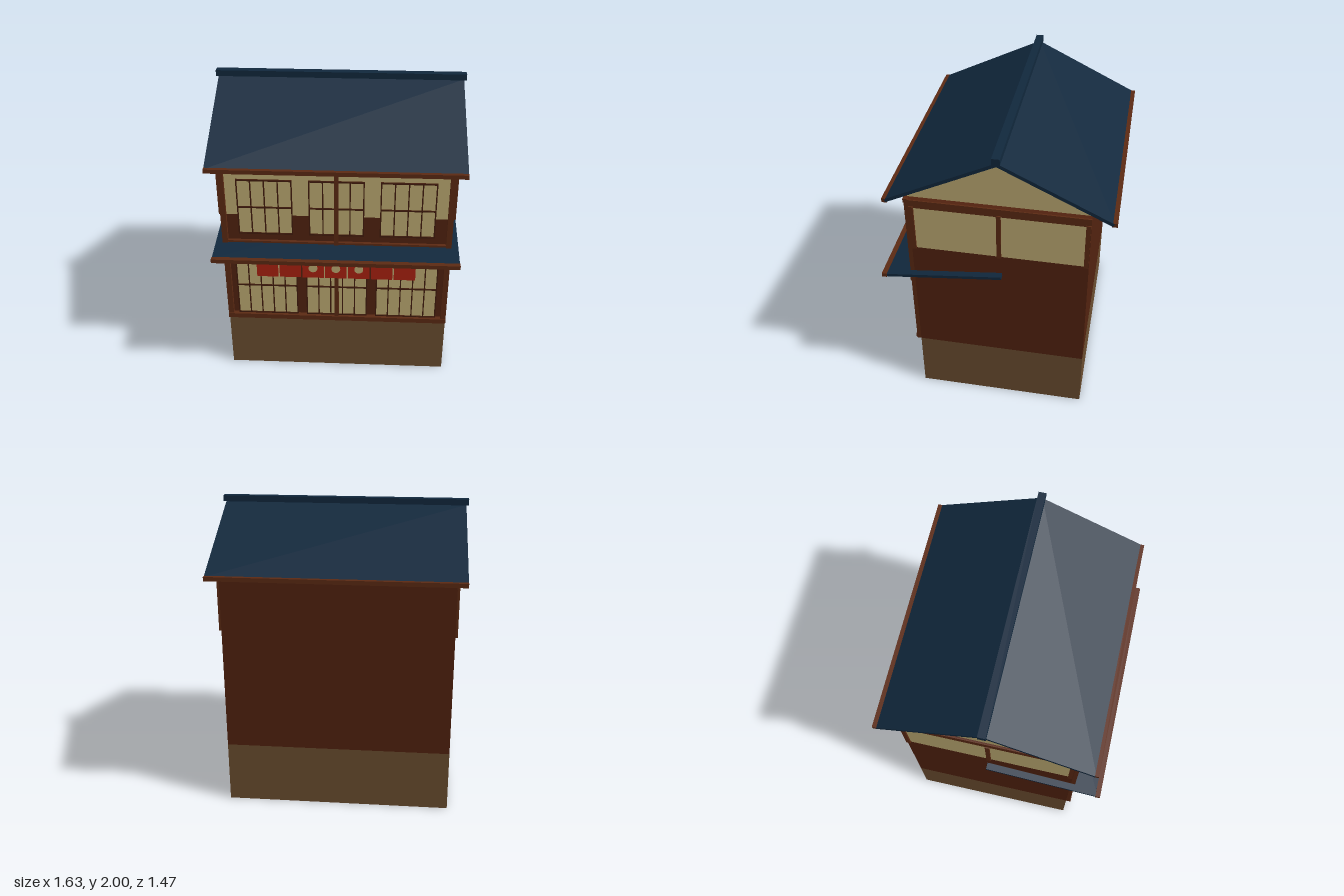
import * as THREE from 'three';

const mat = (name, color) => {
  const m = new THREE.MeshStandardMaterial({ color });
  m.name = name;
  return m;
};

export function createModel() {
  const wall = mat('brown wall', 0x52220f);
  const trim = mat('timber trim', 0x5c2a13);
  const bars = mat('dark window bars', 0x421c0c);
  const plaster = mat('plaster', 0xbfac73);
  const base = mat('foundation', 0x6b4d2f);
  const roof = mat('blue roof', 0x11283d);
  const red = mat('red cloth', 0xab2110);

  const house = new THREE.Group();
  house.name = 'house';

  const add = (name, geometry, material, parent = house) => {
    const mesh = new THREE.Mesh(geometry, material);
    mesh.name = name;
    parent.add(mesh);
    return mesh;
  };
  // Box given by its lower and upper limits on each axis
  const box = (name, material, x0, x1, y0, y1, z0, z1, parent = house) => {
    const mesh = add(name, new THREE.BoxGeometry(x1 - x0, y1 - y0, z1 - z0), material, parent);
    mesh.position.set((x0 + x1) / 2, (y0 + y1) / 2, (z0 + z1) / 2);
    return mesh;
  };
  // Sloping slab whose centre line runs between two (z, y) points
  const slab = (name, halfWidth, z0, y0, z1, y1, t) => {
    const length = Math.hypot(z1 - z0, y1 - y0);
    const mesh = add(name, new THREE.BoxGeometry(halfWidth * 2, t, length), roof);
    mesh.position.set(0, (y0 + y1) / 2, (z0 + z1) / 2);
    mesh.rotation.x = Math.atan2(y0 - y1, z1 - z0);
  };

  const BACK = -0.585, FRONT = 0.53, HALF = 0.743;

  // Main masses
  box('foundation', base, -HALF, HALF, 0, 0.413, BACK, FRONT);
  box('walls', wall, -HALF, HALF, 0.413, 1.6, BACK, FRONT);

  // Gable under the roof, slightly raised off the wall top
  const tri = new THREE.Shape([
    new THREE.Vector2(-FRONT, 1.625),
    new THREE.Vector2(-BACK, 1.625),
    new THREE.Vector2(0.03, 1.942),
  ]);
  const gable = new THREE.ExtrudeGeometry(tri, { depth: HALF * 2, bevelEnabled: false });
  gable.translate(0, 0, -HALF).rotateY(Math.PI / 2);
  add('gable', gable, plaster);

  // Main roof
  slab('frontRoof', 0.8, -0.03, 1.95, 0.655, 1.615, 0.022);
  slab('backRoof', 0.8, -0.715, 1.615, -0.03, 1.95, 0.022);
  box('ridgeCap', roof, -0.815, 0.815, 1.96, 2, -0.055, -0.005);
  box('frontEave', trim, -0.8, 0.8, 1.603, 1.63, 0.642, 0.674);
  box('backEave', trim, -0.8, 0.8, 1.603, 1.63, -0.737, -0.705);

  // Awning between the storeys
  slab('awning', 0.788, -0.045, 1.09, 0.72, 1.002, 0.02);
  box('awningEave', trim, -0.79, 0.79, 0.99, 1.017, 0.705, 0.737);

  // Upper side walls: plaster panels framed in timber
  for (const s of [-1, 1]) {
    const side = new THREE.Group();
    side.name = s > 0 ? 'leftSideFrame' : 'rightSideFrame';
    house.add(side);
    const strip = (name, m, out, y0, y1, z0, z1) => {
      const a = s * (HALF - 0.003), b = s * out;
      box(name, m, Math.min(a, b), Math.max(a, b), y0, y1, z0, z1, side);
    };
    strip('sidePlaster', plaster, 0.747, 1.235, 1.545, -0.57, 0.51);
    strip('sideTopBeam', trim, 0.75, 1.545, 1.6, BACK, FRONT);
    for (const z of [0.512, -0.028, -0.569])
      strip('sidePost', trim, 0.758, 1.23, 1.555, z - 0.014, z + 0.014);
  }

  // Front timber frame for both storeys
  box('upperPlaster', plaster, -0.71, 0.71, 1.235, 1.545, FRONT, 0.534);
  for (const [y0, y1] of [[0.413, 0.98], [1.03, 1.6]]) {
    for (const x of [-0.725, 0, 0.725]) {
      const w = x ? 0.018 : 0.014;
      box('frontPost', trim, x - w, x + w, y0, y1, FRONT, 0.557);
    }
  }
  const beams = [[0.418, 0.452, 0.563], [0.945, 0.978, 0.563], [1.025, 1.045, 0.55], [1.572, 1.6, 0.563], [1.543, 1.572, 0.55]];
  for (const [y0, y1, z] of beams) box('frontBeam', trim, -HALF, HALF, y0, y1, FRONT, z);

  // Lattice window: pale pane, border, upright bars and one crossbar
  const latticeWindow = (name, x0, x1, y0, y1, columns, middle) => {
    const g = new THREE.Group();
    g.name = name;
    house.add(g);
    box('pane', plaster, x0, x1, y0, y1, FRONT, 0.538, g);
    for (let i = 0; i <= columns; i++) {
      const x = x0 + ((x1 - x0) * i) / columns;
      box('uprightBar', bars, x - 0.004, x + 0.004, y0, y1, FRONT, 0.545, g);
    }
    for (const y of [y0, middle, y1])
      box('crossBar', bars, x0 - 0.004, x1 + 0.004, y - 0.005, y + 0.005, FRONT, 0.545, g);
  };
  for (const x of [-0.457, 0, 0.455])
    latticeWindow('upperWindow', x - 0.173, x + 0.173, 1.1, 1.49, 4, 1.295);
  for (const x of [-0.467, 0, 0.467])
    latticeWindow('lowerWindow', x - 0.201, x + 0.201, 0.455, 0.917, 5, 0.685);

  // Hanging shop curtain with three pale discs
  const curtain = new THREE.Group();
  curtain.name = 'shopCurtain';
  house.add(curtain);
  for (let i = -3; i <= 3; i++) {
    const x = i * 0.149;
    box('curtainPanel', red, x - 0.07, x + 0.07, 0.82, 0.962, 0.622, 0.627, curtain);
    if (Math.abs(i) < 2) {
      const disc = add('curtainDisc', new THREE.CylinderGeometry(0.029, 0.029, 0.003, 20), plaster, curtain);
      disc.rotation.x = Math.PI / 2;
      disc.position.set(x, 0.893, 0.628);
    }
  }

  return house;
}
